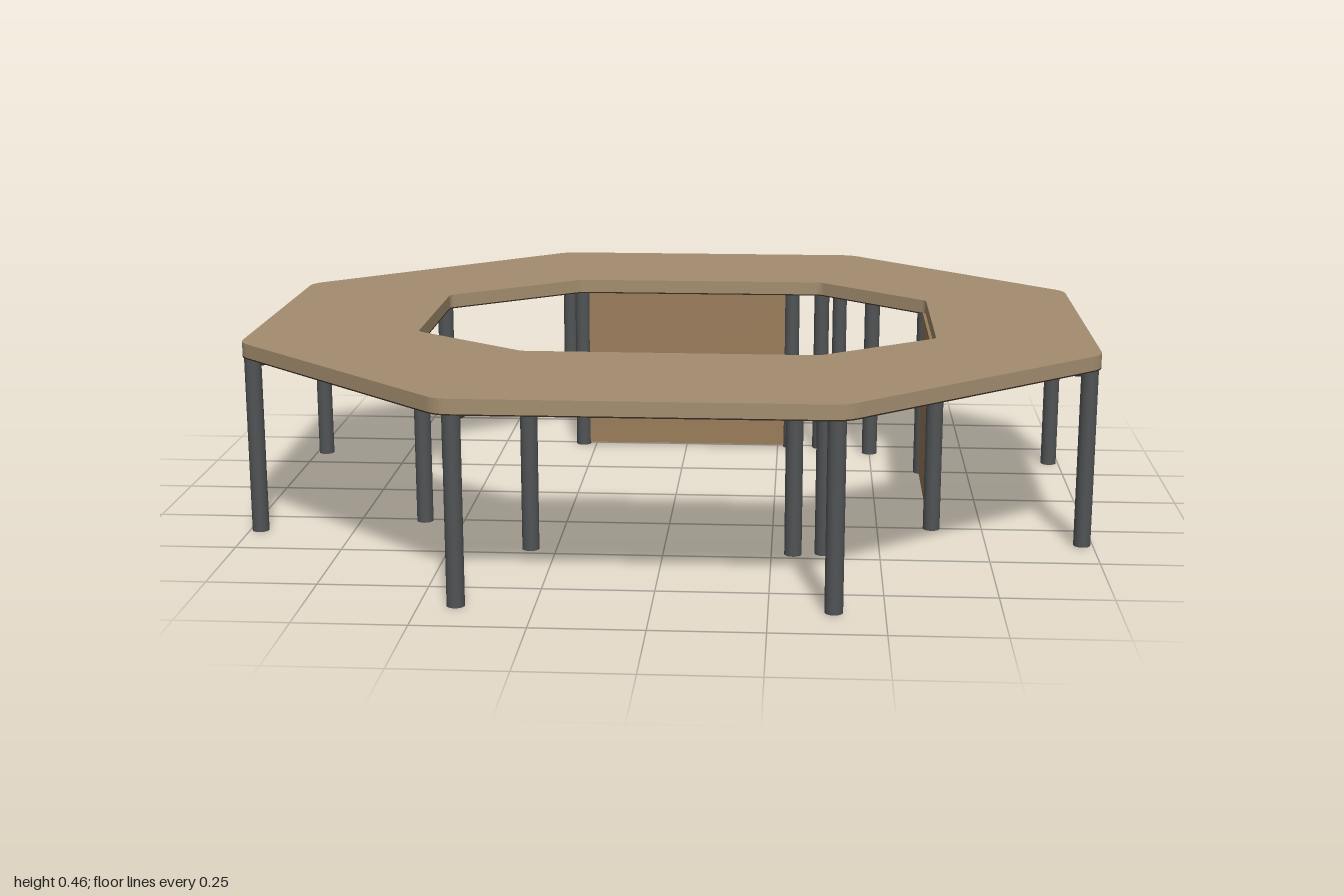
import * as THREE from 'three';

const UP = new THREE.Vector3(0, 1, 0);
const TOP = 0.463, UNDER = 0.43, LEG_R = 0.02;

const wood = new THREE.MeshStandardMaterial({ color: 0xa38d6f });
const panelWood = new THREE.MeshStandardMaterial({ color: 0x9a7c5a });
const underWood = new THREE.MeshStandardMaterial({ color: 0x33271d });
const metal = new THREE.MeshStandardMaterial({ color: 0x505355 });

// Plan outlines of the ring as [x, z]
const OUTER = [[-0.45, 0.895], [0.41, 0.895], [1, 0.385], [1, -0.385],
  [0.45, -0.9], [-0.37, -0.9], [-1, -0.37], [-1, 0.375]];
const INNER = [[-0.33, 0.425], [0.355, 0.43], [0.63, 0.23], [0.63, -0.23],
  [0.36, -0.468], [-0.285, -0.468], [-0.605, -0.23], [-0.605, 0.225]];

// Legs as [x, z]; outer and inner lists share their order around the ring
const OUTER_LEGS = [[-0.42, 0.87], [0.39, 0.865], [0.975, 0.36], [0.975, -0.36],
  [0.42, -0.86], [-0.36, -0.86], [-0.975, -0.35], [-0.975, 0.36]];
const INNER_LEGS = [[-0.31, 0.465], [0.37, 0.46], [0.63, 0.25], [0.63, -0.25],
  [0.365, -0.485], [-0.285, -0.49], [-0.62, -0.245], [-0.595, 0.26]];
const EXTRA_LEGS = [[0.3, 0.47], [0.5, -0.435], [0.285, -0.49]];

// Closed outline with softly rounded corners
function trace(path, points, r) {
  const n = points.length;
  const v = points.map(([x, z]) => new THREE.Vector2(x, -z));
  for (let i = 0; i < n; i++) {
    const p = v[i];
    const a = v[(i + n - 1) % n].clone().sub(p).setLength(r).add(p);
    const b = v[(i + 1) % n].clone().sub(p).setLength(r).add(p);
    if (i === 0) path.moveTo(a.x, a.y);
    else path.lineTo(a.x, a.y);
    path.quadraticCurveTo(p.x, p.y, b.x, b.y);
  }
  path.closePath();
  return path;
}

function ringSlab(name, bottom, top, material) {
  const shape = trace(new THREE.Shape(), OUTER, 0.03);
  shape.holes.push(trace(new THREE.Path(), INNER, 0.012));
  const geo = new THREE.ExtrudeGeometry(shape, { depth: top - bottom, bevelEnabled: false, curveSegments: 5 });
  geo.rotateX(-Math.PI / 2).translate(0, bottom, 0);
  const mesh = new THREE.Mesh(geo, material);
  mesh.name = name;
  return mesh;
}

// Round bar between two points
function bar(name, a, b, r) {
  const dir = b.clone().sub(a);
  const mesh = new THREE.Mesh(new THREE.CylinderGeometry(r, r, dir.length(), 16), metal);
  mesh.position.copy(a).add(b).multiplyScalar(0.5);
  mesh.quaternion.setFromUnitVectors(UP, dir.normalize());
  mesh.name = name;
  return mesh;
}

function panel(name, w, d, x, z) {
  const mesh = new THREE.Mesh(new THREE.BoxGeometry(w, UNDER - 0.006, d), panelWood);
  mesh.position.set(x, (UNDER + 0.006) / 2, z);
  mesh.name = name;
  return mesh;
}

export function createModel() {
  const model = new THREE.Group();
  model.name = 'ringTable';

  // Table ring with a dark underside
  model.add(ringSlab('tableTop', UNDER, TOP, wood));
  model.add(ringSlab('tableUnderside', UNDER - 0.003, UNDER, underWood));

  // Legs
  const addLegs = (name, list) => list.forEach(([x, z]) => model.add(
    bar(name, new THREE.Vector3(x, 0, z), new THREE.Vector3(x, UNDER - 0.002, z), LEG_R)));
  addLegs('outerLeg', OUTER_LEGS);
  addLegs('innerLeg', INNER_LEGS);
  addLegs('extraLeg', EXTRA_LEGS);

  // Rails joining outer and inner legs under each seam
  OUTER_LEGS.forEach(([x, z], i) => {
    const [ix, iz] = INNER_LEGS[i];
    model.add(bar('seamRail', new THREE.Vector3(x, 0.416, z), new THREE.Vector3(ix, 0.416, iz), 0.012));
  });

  // Modesty panels
  model.add(panel('backPanel', 0.57, 0.014, 0, -0.49));
  model.add(panel('sidePanel', 0.014, 0.5, 0.63, 0));
  return model;
}
